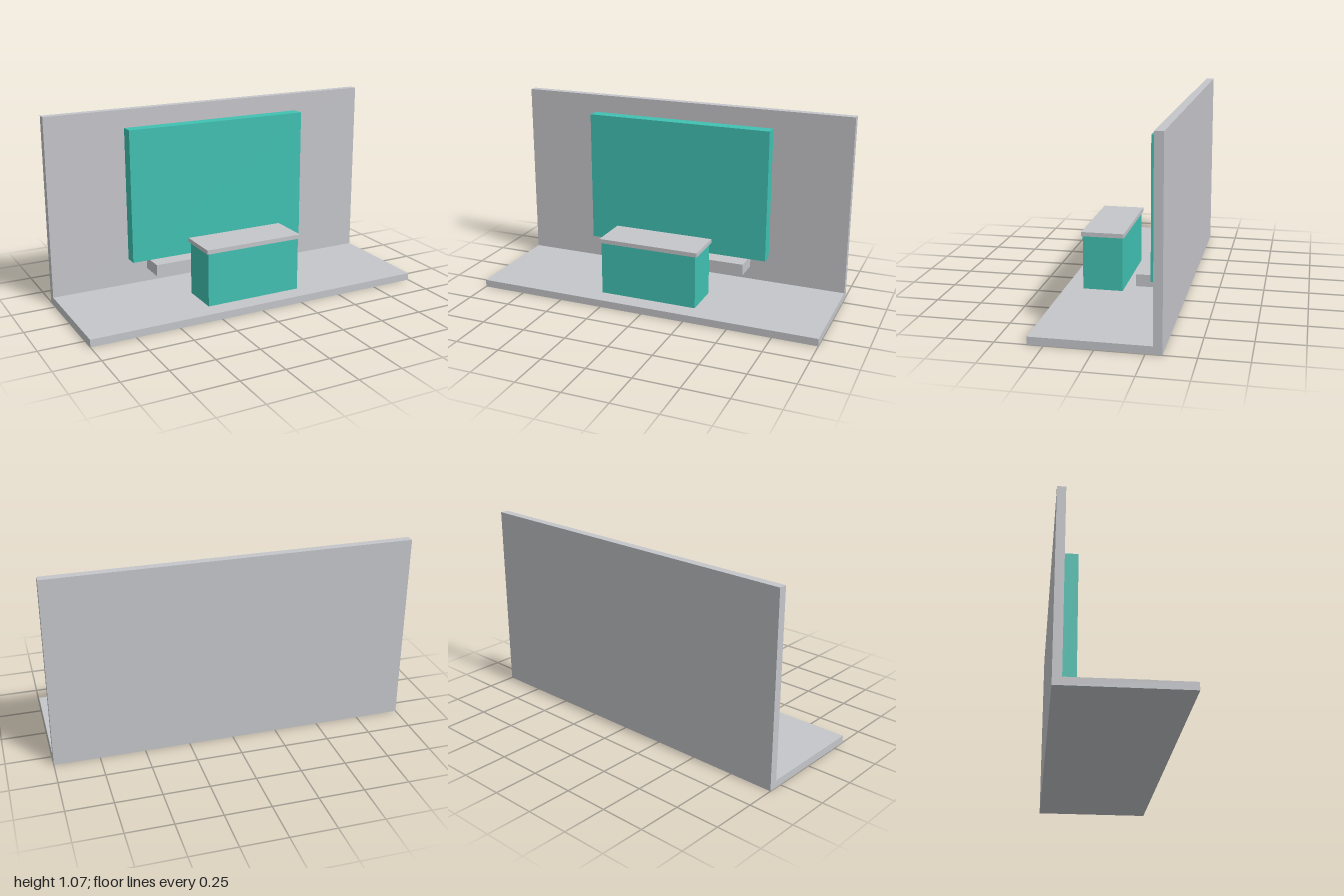
import * as THREE from 'three';

const grey = new THREE.MeshStandardMaterial({ name: 'light grey', color: 0xc5c6ca });
const teal = new THREE.MeshStandardMaterial({ name: 'teal', color: 0x40c1b2 });

// Box given by its lower and upper limits on each axis
function block(name, material, [x0, x1], [y0, y1], [z0, z1]) {
  const mesh = new THREE.Mesh(new THREE.BoxGeometry(x1 - x0, y1 - y0, z1 - z0), material);
  mesh.position.set((x0 + x1) / 2, (y0 + y1) / 2, (z0 + z1) / 2);
  mesh.name = name;
  return mesh;
}

// Floor and back wall as one L-shaped section, drawn as (z, y) and swept along x
function floorAndWall() {
  const section = new THREE.Shape(
    [[0.333, 0], [0.333, 0.042], [-0.287, 0.042], [-0.287, 1.07], [-0.333, 1.07], [-0.333, 0]]
      .map(([z, y]) => new THREE.Vector2(z, y))
  );
  const geometry = new THREE.ExtrudeGeometry(section, { depth: 2, bevelEnabled: false });
  geometry.translate(0, 0, -1).rotateY(-Math.PI / 2);
  const mesh = new THREE.Mesh(geometry, grey);
  mesh.name = 'floorAndWall';
  return mesh;
}

export function createModel() {
  const group = new THREE.Group();
  group.name = 'receptionStand';
  group.add(
    floorAndWall(),
    // display panel standing on its ledge in front of the wall
    block('displayPanel', teal, [-0.55, 0.55], [0.202, 0.97], [-0.27, -0.196]),
    block('ledge', grey, [-0.447, 0.447], [0.136, 0.202], [-0.247, -0.099]),
    // counter set into the floor, with an overhanging top
    block('counter', teal, [-0.283, 0.281], [0.02, 0.346], [0.007, 0.23]),
    block('counterTop', grey, [-0.292, 0.29], [0.346, 0.37], [-0.001, 0.237])
  );
  return group;
}
